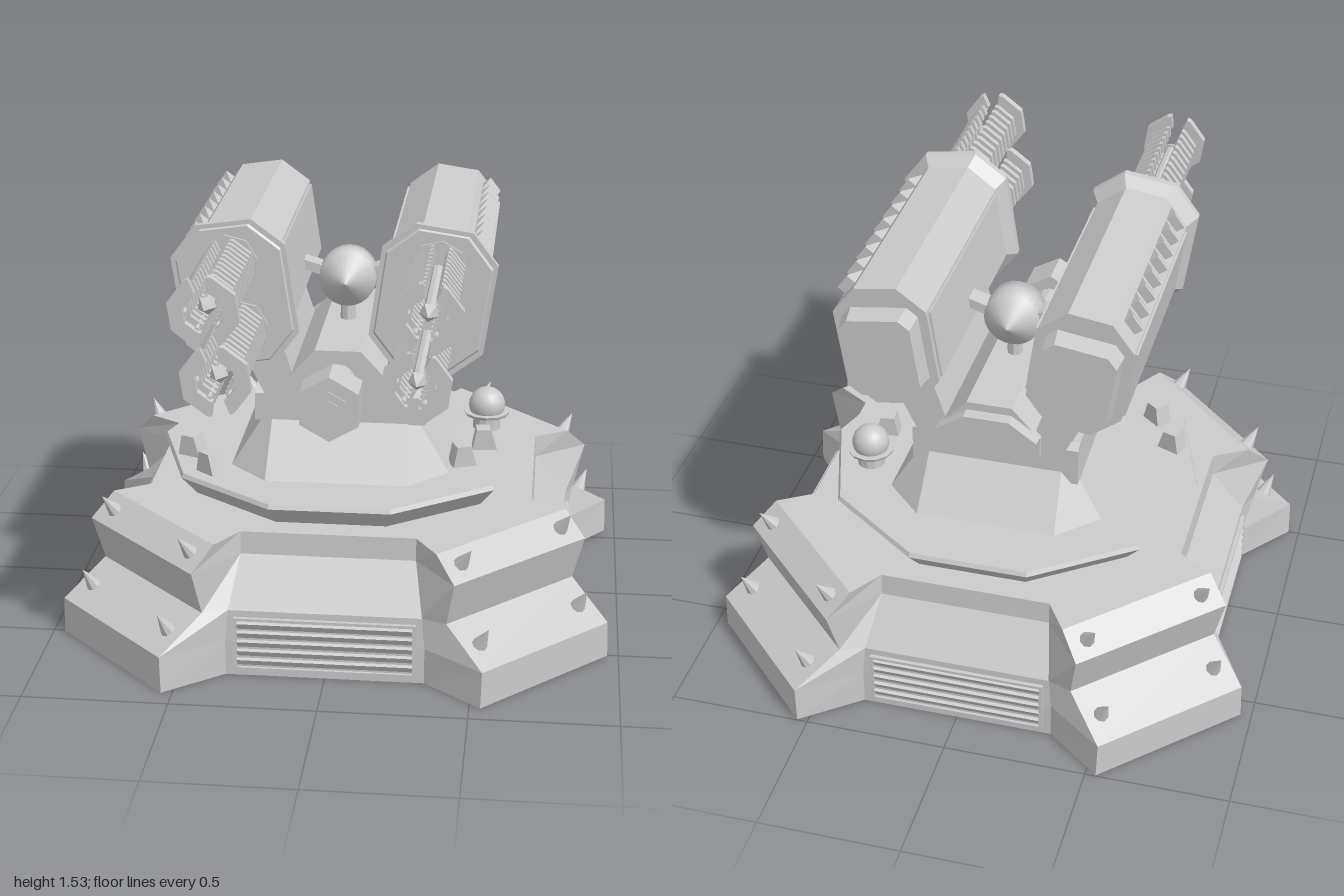
import * as THREE from 'three';

const mat = new THREE.MeshStandardMaterial({ color: 0xcccccc, flatShading: true });
const smooth = new THREE.MeshStandardMaterial({ color: 0xcccccc });

function add(parent, name, geo, x = 0, y = 0, z = 0, material = mat) {
  const m = new THREE.Mesh(geo, material);
  m.name = name;
  m.position.set(x, y, z);
  parent.add(m);
  return m;
}

function group(parent, name, x = 0, y = 0, z = 0) {
  const g = new THREE.Group();
  g.name = name;
  g.position.set(x, y, z);
  parent.add(g);
  return g;
}

const box = (w, h, d) => new THREE.BoxGeometry(w, h, d);
// Cylinder lying along z
const rod = (r, len, sides) => new THREE.CylinderGeometry(r, r, len, sides).rotateX(Math.PI / 2);

// Capped solid through matching cross-sections [z, [[x, y], ...]]
function loft(sections) {
  const pos = [];
  const n = sections[0][1].length;
  const at = (s, i) => [...s[1][i % n], s[0]];
  for (let k = 0; k < sections.length - 1; k++) {
    for (let i = 0; i < n; i++) {
      const a = at(sections[k], i), b = at(sections[k], i + 1);
      const c = at(sections[k + 1], i + 1), d = at(sections[k + 1], i);
      pos.push(...a, ...b, ...c, ...a, ...c, ...d);
    }
  }
  const first = sections[0], last = sections[sections.length - 1];
  for (let i = 0; i < n; i++) {
    pos.push(0, 0, first[0], ...at(first, i + 1), ...at(first, i));
    pos.push(0, 0, last[0], ...at(last, i), ...at(last, i + 1));
  }
  const g = new THREE.BufferGeometry();
  g.setAttribute('position', new THREE.Float32BufferAttribute(pos, 3));
  g.computeVertexNormals();
  return g;
}
const loftUp = (sections) => loft(sections).rotateX(-Math.PI / 2);

// Rectangle with cut corners
const octagon = (w, h, c) => [[w, c - h], [w, h - c], [w - c, h], [c - w, h],
  [-w, h - c], [-w, c - h], [c - w, -h], [w - c, -h]];

// Flat outline extruded along z, centred in depth
function prism(points, depth) {
  const shape = new THREE.Shape(points.map((p) => new THREE.Vector2(...p)));
  return new THREE.ExtrudeGeometry(shape, { depth, bevelEnabled: false }).translate(0, 0, -depth / 2);
}
// Side outline of [z, y] points extruded along x
const sidePrism = (points, width) => prism(points, width).rotateY(-Math.PI / 2);

// Cross-shaped outline: four flats and four diagonal legs
function baseOutline(flat, flatHalf, leg, legHalf) {
  const k = Math.SQRT1_2, pts = [];
  for (let q = 0; q < 4; q++) {
    const c = [1, 0, -1, 0][q], s = [0, 1, 0, -1][q];
    for (const [x, y] of [[flat, -flatHalf], [flat, flatHalf],
      [(leg + legHalf) * k, (leg - legHalf) * k], [(leg - legHalf) * k, (leg + legHalf) * k]]) {
      pts.push([x * c - y * s, x * s + y * c]);
    }
  }
  return pts;
}

function buildBase(root) {
  const base = group(root, 'base', 0, 0, -0.035);
  add(base, 'baseHull', loftUp([
    [0, baseOutline(0.805, 0.34, 1.06, 0.3)],
    [0.13, baseOutline(0.805, 0.34, 1.06, 0.295)],
    [0.24, baseOutline(0.8, 0.33, 0.88, 0.295)],
    [0.4, baseOutline(0.685, 0.3, 0.926, 0.304)],
    [0.48, baseOutline(0.68, 0.3, 0.83, 0.3)],
  ]));
  for (let q = 0; q < 4; q++) {
    // Louvred vent on each flat
    const vent = group(base, 'vent');
    vent.rotation.y = q * Math.PI / 2;
    for (const s of [-1, 1]) {
      add(vent, 'ventFrameSide', box(0.012, 0.19, 0.02), s * 0.305, 0.12, 0.805);
      add(vent, 'ventFrameEdge', box(0.62, 0.01, 0.02), 0, 0.12 + s * 0.092, 0.805);
    }
    for (let i = 0; i < 5; i++) {
      const slat = add(vent, 'ventSlat', box(0.6, 0.026, 0.012), 0, 0.052 + i * 0.034, 0.805);
      slat.rotation.x = 0.5;
    }
    // Two rows of spikes on each leg
    const spikes = group(base, 'legSpikes');
    spikes.rotation.y = Math.PI / 4 + q * Math.PI / 2;
    for (const [r, y, tilt] of [[0.975, 0.18, 0.55], [0.875, 0.44, 0.65]]) {
      for (const s of [-1, 1]) {
        const cone = new THREE.ConeGeometry(0.028, 0.085, 8).translate(0, 0.042, 0);
        add(spikes, 'spike', cone, r, y, s * 0.23).rotation.z = -tilt;
      }
    }
  }
  // Turntable
  const deck = (a, b, y0, y1) => new THREE.CylinderGeometry(b, a, y1 - y0, 10)
    .rotateY(Math.PI / 10).translate(0, (y0 + y1) / 2, 0);
  add(base, 'turntableUnderside', deck(0.61, 0.68, 0.47, 0.55));
  add(base, 'turntableTop', deck(0.68, 0.672, 0.55, 0.565));
}

function buildDeckFittings(root) {
  const dome = group(root, 'sensorDome', 0.5, 0, -0.2);
  add(dome, 'domeStem', new THREE.CylinderGeometry(0.05, 0.05, 0.07, 12), 0, 0.59, 0);
  add(dome, 'domeRim', new THREE.CylinderGeometry(0.085, 0.08, 0.012, 12), 0, 0.625, 0);
  add(dome, 'domeBall', new THREE.SphereGeometry(0.067, 20, 12), 0, 0.655, 0, smooth);
  // Wedge-shaped deck blocks
  const wedge = [[-0.045, 0], [0.045, 0], [0.02, 0.08], [-0.03, 0.08]];
  for (const [x, z, turn] of [[0.43, 0.17, 0.4], [0.5, 0, 0.1], [-0.54, 0.17, -0.4], [-0.45, 0.33, -0.7]]) {
    add(root, 'deckBlock', prism(wedge, 0.06), x, 0.56, z).rotation.y = turn;
  }
}

function buildTurret(root) {
  const t = group(root, 'turret', 0, 0, -0.03);
  add(t, 'pedestal', loftUp([
    [0.56, octagon(0.39, 0.43, 0.14)],
    [0.75, octagon(0.27, 0.285, 0.03)],
  ]));
  add(t, 'collar', sidePrism([[0.29, 0.74], [0.29, 0.84], [0.26, 0.86], [-0.26, 0.86], [-0.29, 0.84], [-0.29, 0.7]], 0.6));
  add(t, 'head', prism([[-0.18, 0.84], [0.18, 0.84], [0.18, 0.92], [0.08, 1.03], [-0.08, 1.03], [-0.18, 0.92]], 0.72));
  add(t, 'rearPlate', prism([[-0.18, 0.93], [-0.12, 0.89], [0.12, 0.89], [0.18, 0.93], [0.08, 1], [-0.08, 1]], 0.05), 0, 0, -0.38);
  for (const s of [-1, 1]) {
    // Slanted arms carrying the guns, with a framed outer face
    const pts = [[0.13, 0.84], [0.25, 0.84], [0.335, 1.02], [0.2, 1.06]].map(([x, y]) => [x * s, y]);
    add(t, 'gunArm', prism(pts, 0.68));
    const frame = group(t, 'armFrame', s * 0.293, 0.93, 0);
    frame.rotation.z = -s * 0.44;
    for (const e of [-1, 1]) {
      add(frame, 'armFrameRail', box(0.016, 0.012, 0.56), 0, e * 0.055, 0);
      add(frame, 'armFramePost', box(0.016, 0.12, 0.012), 0, 0, e * 0.275);
    }
  }
  // Nose sensor
  add(root, 'noseTube', rod(0.063, 0.18, 16), 0, 0.92, 0.4);
  add(root, 'noseHousing', rod(0.115, 0.14, 6), 0, 0.92, 0.54);
  add(root, 'noseLensRim', rod(0.065, 0.012, 6), 0, 0.92, 0.61);
  add(root, 'noseLens', rod(0.035, 0.02, 6), 0, 0.92, 0.612);
  // Spindle between the guns
  const profile = [[0, -0.12], [0.1, -0.05], [0.104, 0], [0.1, 0.05], [0, 0.12]];
  const spindle = new THREE.LatheGeometry(profile.map((p) => new THREE.Vector2(...p)), 24).rotateX(Math.PI / 2);
  add(root, 'spindle', spindle, 0, 1.19, -0.04, smooth);
  add(root, 'spindlePost', new THREE.CylinderGeometry(0.025, 0.03, 0.12, 8), 0, 1.06, -0.04);
  for (const s of [-1, 1]) {
    add(root, 'spindleBracket', box(0.1, 0.035, 0.07), s * 0.135, 1.225, -0.05).rotation.z = s * 0.3;
  }
}

// Octagonal half ring, open at top and bottom
function halfRing(outer, inner, depth, s) {
  const pts = [], angles = [-75, -67.5, -22.5, 22.5, 67.5, 75].map((d) => d * Math.PI / 180);
  for (const a of angles) pts.push([s * outer * Math.cos(a), outer * Math.sin(a)]);
  for (const a of angles.reverse()) pts.push([s * inner * Math.cos(a), inner * Math.sin(a)]);
  return prism(pts, depth);
}

function buildBarrel(gun, y) {
  const b = group(gun, 'barrel', 0, y, 0);
  add(b, 'barrelSocket', rod(0.1, 0.02, 8), 0, 0, 0.465);
  add(b, 'barrelCore', rod(0.02, 0.48, 8), 0, 0, 0.69);
  add(b, 'barrelTip', new THREE.ConeGeometry(0.032, 0.06, 5).rotateX(Math.PI / 2), 0, 0, 0.95);
  for (let i = 0; i < 6; i++) {
    const a = i * Math.PI / 3;
    add(b, 'barrelRod', rod(0.009, 0.53, 6), 0.066 * Math.cos(a), 0.066 * Math.sin(a), 0.72);
  }
  for (const s of [-1, 1]) {
    for (let i = 0; i < 11; i++) {
      add(b, 'coolingRing', halfRing(0.094, 0.057, 0.02, s), 0, 0, 0.505 + i * 0.043);
    }
    add(b, 'muzzleRing', halfRing(0.118, 0.068, 0.028, s), 0, 0, 0.986);
  }
}

function buildGun(root, s) {
  const gun = group(root, s > 0 ? 'leftGun' : 'rightGun', s * 0.333, 1.263, 0);
  gun.rotation.z = -s * 0.145;
  add(gun, 'gunBody', loft([[-0.47, octagon(0.165, 0.225, 0.09)], [0.41, octagon(0.165, 0.225, 0.09)]]));
  add(gun, 'frontFlange', loft([
    [0.39, octagon(0.165, 0.225, 0.09)],
    [0.435, octagon(0.195, 0.255, 0.1)],
    [0.46, octagon(0.195, 0.255, 0.1)],
  ]));
  add(gun, 'frontPlate', loft([[0.46, octagon(0.18, 0.24, 0.095)], [0.466, octagon(0.175, 0.235, 0.095)]]));
  add(gun, 'rearCap', loft([[-0.545, octagon(0.125, 0.145, 0.035)], [-0.46, octagon(0.135, 0.155, 0.035)]]));
  for (const e of [-1, 1]) {
    add(gun, 'sidePanel', box(0.014, 0.25, 0.82), e * 0.166, 0, -0.04);
    buildBarrel(gun, e * 0.115);
  }
  // Saw-tooth fins along the outer upper edge
  const fins = group(gun, 'edgeFins', s * 0.12, 0.18, 0);
  fins.rotation.z = -s * Math.PI / 4;
  for (let i = 0; i < 8; i++) {
    add(fins, 'edgeFin', sidePrism([[0, -0.01], [0.085, -0.01], [0.085, 0], [0.01, 0.035], [0, 0.035]], 0.06), 0, 0, -0.39 + i * 0.098);
  }
}

export function createModel() {
  const root = new THREE.Group();
  root.name = 'gunTurret';
  buildBase(root);
  buildDeckFittings(root);
  buildTurret(root);
  for (const s of [-1, 1]) buildGun(root, s);
  return root;
}
